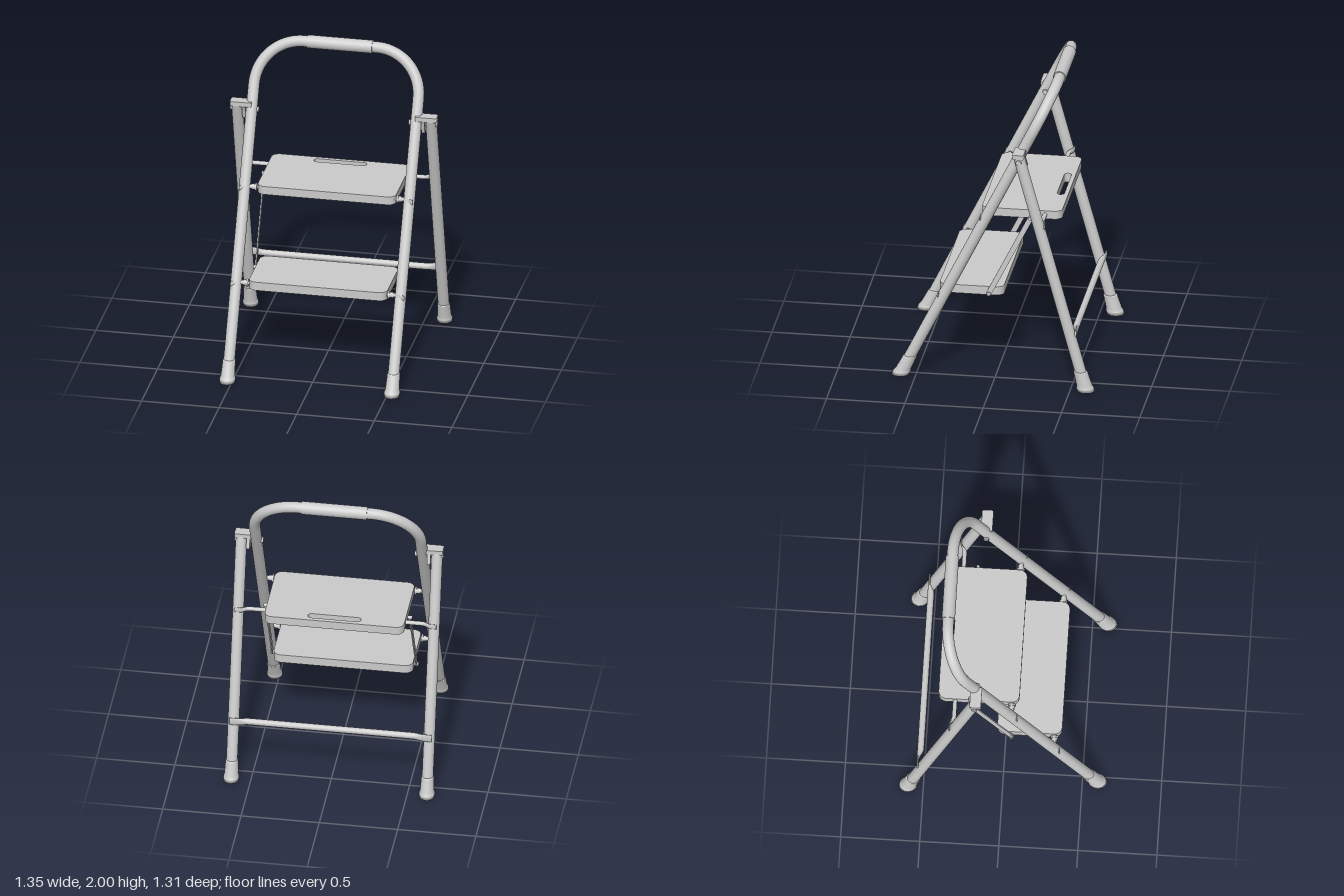
import * as THREE from 'three';

const material = new THREE.MeshStandardMaterial({ color: 0xcccccc });
const FRONT_SLOPE = -0.494, REAR_SLOPE = 0.272;
const FRONT_X = 0.53, REAR_X = 0.625, TUBE_R = 0.036;
const frontZ = (y) => 0.6 + FRONT_SLOPE * y;
const rearZ = (y) => -0.6 + REAR_SLOPE * y;

function part(parent, name, geometry, x = 0, y = 0, z = 0) {
  const mesh = new THREE.Mesh(geometry, material);
  mesh.name = name;
  mesh.position.set(x, y, z);
  parent.add(mesh);
  return mesh;
}

const rodX = (r, length, sides = 20) => new THREE.CylinderGeometry(r, r, length, sides).rotateZ(Math.PI / 2);

function roundedRect(path, w, d, r, cy = 0) {
  const x = w / 2 - r, y = d / 2 - r, q = Math.PI / 2;
  path.absarc(x, cy + y, r, 0, q);
  path.absarc(-x, cy + y, r, q, 2 * q);
  path.absarc(-x, cy - y, r, 2 * q, 3 * q);
  path.absarc(x, cy - y, r, 3 * q, 4 * q);
  path.closePath();
  return path;
}

// Extrudes a floor-plan shape upward; shape +y becomes the back (-z)
const slab = (shape, height) =>
  new THREE.ExtrudeGeometry(shape, { depth: height, bevelEnabled: false, curveSegments: 10 }).rotateX(-Math.PI / 2);

// Round bar across the ladder whose ends are flattened and bent onto the legs
function flattenedBar(r, halfLength, flatLength, shift) {
  const g = new THREE.CylinderGeometry(r, r, 2 * halfLength, 18, 80).rotateZ(Math.PI / 2);
  const p = g.attributes.position;
  for (let i = 0; i < p.count; i++) {
    const t = THREE.MathUtils.smoothstep(Math.abs(p.getX(i)), halfLength - flatLength, halfLength - flatLength * 0.4);
    p.setY(i, p.getY(i) * (1 + 0.25 * t));
    p.setZ(i, p.getZ(i) * (1 - 0.7 * t) + shift * t);
  }
  g.computeVertexNormals();
  return g;
}

// Rubber foot, flat on the floor and sheared to follow its leg
function footGeometry(slope) {
  const profile = [[0, 0], [0.05, 0], [0.05, 0.022], [0.05, 0.022], [0.044, 0.04], [0.04, 0.125],
    [0.04, 0.125], [0.038, 0.132], [0.03, 0.132]];
  const g = new THREE.LatheGeometry(profile.map(([x, y]) => new THREE.Vector2(x, y)), 32);
  g.scale(1, 1, 1.12);
  g.applyMatrix4(new THREE.Matrix4().set(1, 0, 0, 0, 0, 1, 0, 0, 0, slope, 1, 0, 0, 0, 0, 1));
  return g;
}

// Moulded step: thin deck, skirt and a grid of ribs under it
function makeStep(name, bottom, height, front, back, rows, slotted) {
  const step = new THREE.Group();
  step.name = name;
  const w = 0.89, d = front - back, deck = 0.012;
  step.position.set(0, bottom, (front + back) / 2);
  const outline = roundedRect(new THREE.Shape(), w, d, 0.05);
  const skirt = roundedRect(new THREE.Shape(), w, d, 0.05);
  skirt.holes.push(roundedRect(new THREE.Path(), w - 0.024, d - 0.024, 0.038));
  let ribBack = -d / 2 + 0.01;
  if (slotted) {
    const slotY = d / 2 - 0.05;
    outline.holes.push(roundedRect(new THREE.Path(), 0.34, 0.046, 0.022, slotY));
    const rim = roundedRect(new THREE.Shape(), 0.36, 0.066, 0.032, slotY);
    rim.holes.push(roundedRect(new THREE.Path(), 0.34, 0.046, 0.022, slotY));
    part(step, 'hand slot rim', slab(rim, height), 0, -0.004, 0);
    ribBack += 0.08;
  }
  part(step, 'deck', slab(outline, deck), 0, height - deck, 0);
  part(step, 'skirt', slab(skirt, height - deck));
  const ribFront = d / 2 - 0.01, span = ribFront - ribBack, ribH = height - deck - 0.004;
  for (let i = 1; i < 9; i++) {
    part(step, 'rib', new THREE.BoxGeometry(0.006, ribH, span), -w / 2 + (w * i) / 9, 0.004 + ribH / 2, (ribFront + ribBack) / 2);
  }
  for (let i = slotted ? 0 : 1; i < rows; i++) {
    part(step, 'rib', new THREE.BoxGeometry(w - 0.02, ribH, 0.006), 0, 0.004 + ribH / 2, ribBack + (span * i) / rows);
  }
  return step;
}

export function createModel() {
  const model = new THREE.Group();
  model.name = 'step ladder';

  // Front frame: one bent tube with a grip, drawn flat and then leaned back
  const frontFrame = new THREE.Group();
  frontFrame.name = 'frontFrame';
  frontFrame.position.z = 0.6;
  frontFrame.rotation.x = Math.atan(FRONT_SLOPE);
  model.add(frontFrame);
  const top = 1.958 * Math.hypot(1, FRONT_SLOPE), bend = 0.295;
  const path = new THREE.Path();
  path.moveTo(-FRONT_X, 0.04);
  path.lineTo(-FRONT_X, top - bend);
  path.absarc(-FRONT_X + bend, top - bend, bend, Math.PI, Math.PI / 2, true);
  path.lineTo(FRONT_X - bend, top);
  path.absarc(FRONT_X - bend, top - bend, bend, Math.PI / 2, 0, true);
  path.lineTo(FRONT_X, 0.04);
  const points = path.getSpacedPoints(140).map((p) => new THREE.Vector3(p.x, p.y, 0));
  part(frontFrame, 'front tube', new THREE.TubeGeometry(new THREE.CatmullRomCurve3(points), 200, TUBE_R, 24));
  part(frontFrame, 'grip', rodX(0.042, 0.42, 32), 0, top, 0);

  // Steps
  model.add(makeStep('upper step', 1.085, 0.055, 0.095, -0.417, 4, true));
  model.add(makeStep('lower step', 0.54, 0.057, 0.365, -0.045, 4, false));

  // Cross bars
  part(model, 'upper front bar', flattenedBar(0.014, 0.56, 0.07, 0.036), 0, 1.113, frontZ(1.113));
  part(model, 'lower front bar', flattenedBar(0.014, 0.56, 0.07, 0.036), 0, 0.568, frontZ(0.568));
  part(model, 'upper rear bar', flattenedBar(0.014, 0.645, 0.09, -0.026), 0, 1.113, -0.31);
  part(model, 'rear brace', flattenedBar(0.021, 0.645, 0.12, -0.014), 0, 0.397, -0.523);

  for (const s of [1, -1]) {
    const side = new THREE.Group();
    side.name = s > 0 ? 'left side' : 'right side';
    model.add(side);

    // Rear leg
    const legTop = 1.58, length = legTop * Math.hypot(1, REAR_SLOPE) - 0.04;
    const leg = part(side, 'rear leg', new THREE.CylinderGeometry(TUBE_R, TUBE_R, length, 24),
      s * REAR_X, legTop / 2 + 0.02, rearZ(legTop / 2 + 0.02));
    leg.rotation.x = Math.atan(REAR_SLOPE);

    // Feet
    part(side, 'front foot', footGeometry(FRONT_SLOPE), s * FRONT_X, 0, 0.6);
    part(side, 'rear foot', footGeometry(REAR_SLOPE), s * REAR_X, 0, -0.6);

    // Hinge cap, plate between the legs and pivot bolt
    part(side, 'hinge cap', slab(roundedRect(new THREE.Shape(), 0.14, 0.072, 0.012), 0.03), s * 0.596, 1.573, -0.17);
    const plate = part(side, 'hinge plate', new THREE.BoxGeometry(0.022, 0.085, 0.066), s * 0.577, 1.538, -0.178);
    plate.rotation.x = Math.atan(REAR_SLOPE);
    part(side, 'pivot bolt', rodX(0.012, 0.17), s * 0.575, 1.55, -0.17);
    part(side, 'bolt head', rodX(0.018, 0.012), s * 0.661, 1.55, -0.175);
    part(side, 'bolt nut', rodX(0.018, 0.02, 6), s * 0.493, 1.55, -0.17);

    // Collars where the front bars enter the steps
    for (const y of [1.113, 0.568]) {
      part(side, 'bar collar', rodX(0.025, 0.012), s * 0.456, y, frontZ(y));
      part(side, 'bar sleeve', rodX(0.018, 0.03), s * 0.468, y, frontZ(y));
    }

    // Flat strut linking the two steps
    const strutShape = roundedRect(new THREE.Shape(), 0.034, 0.62, 0.016);
    const strutGeometry = new THREE.ExtrudeGeometry(strutShape, { depth: 0.008, bevelEnabled: false })
      .translate(0, 0, -0.004).rotateY(Math.PI / 2);
    const strut = part(side, 'strut', strutGeometry, s * 0.46, 0.818, -0.085);
    strut.rotation.x = -Math.atan2(0.27, 0.54);
    part(side, 'upper strut pin', rodX(0.012, 0.035), s * 0.457, 1.09, -0.22);
    part(side, 'lower strut pin', rodX(0.012, 0.035), s * 0.457, 0.556, 0.045);
  }
  return model;
}
